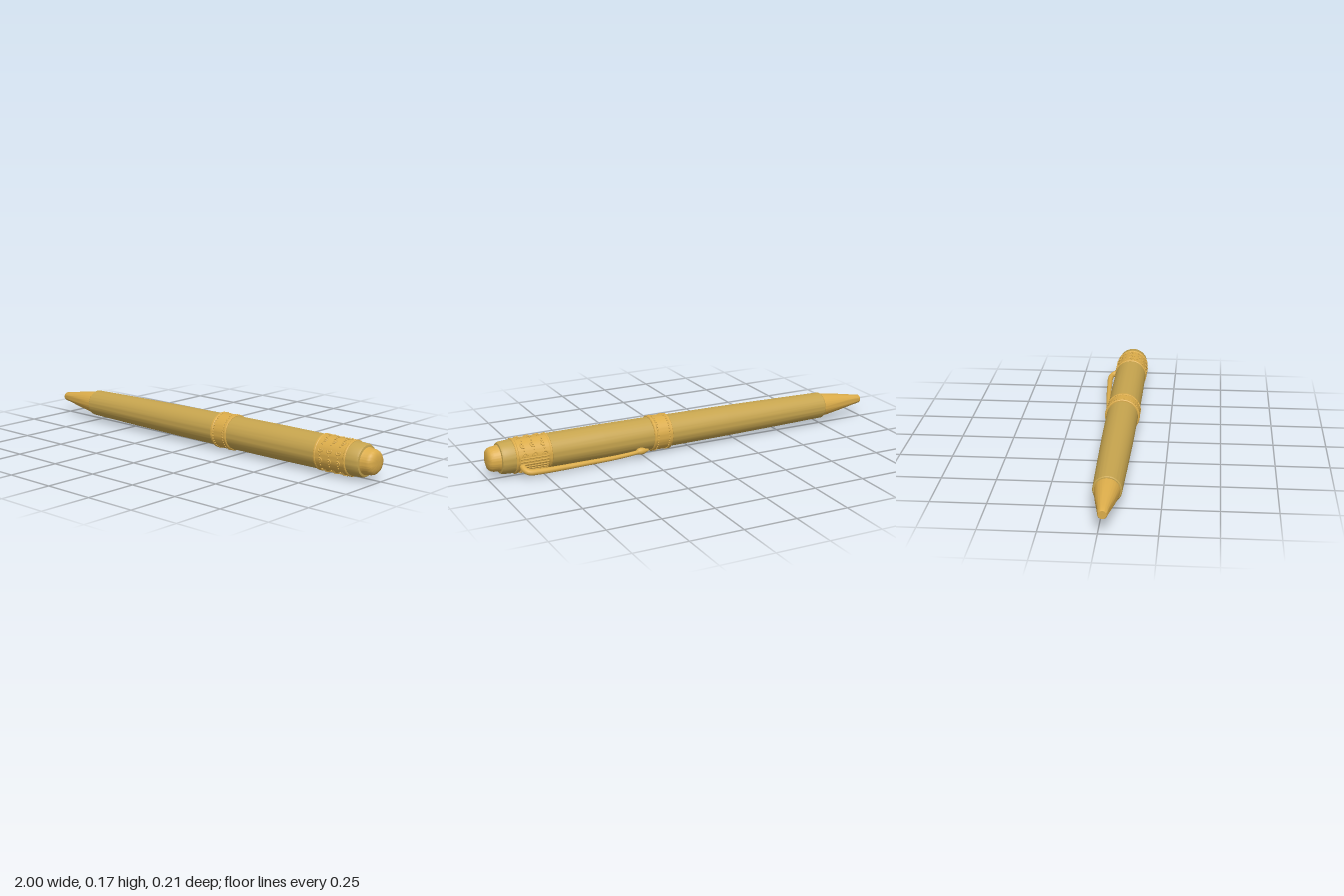
import * as THREE from 'three';
import { toCreasedNormals } from 'three/addons/utils/BufferGeometryUtils.js';

const DEG = Math.PI / 180;

export function createModel() {
  const bodyGold = new THREE.MeshStandardMaterial({ color: 0xc6a44e });
  bodyGold.name = 'soft gold';
  const trimGold = new THREE.MeshStandardMaterial({ color: 0xdbac4a });
  trimGold.name = 'bright gold';

  const root = new THREE.Group();
  root.name = 'pen';
  const pen = new THREE.Group();
  pen.name = 'penBody';
  pen.position.set(0, 0.087, 0.02);
  root.add(pen);

  const add = (name, geometry, material, parent = pen) => {
    const mesh = new THREE.Mesh(geometry, material);
    mesh.name = name;
    parent.add(mesh);
    return mesh;
  };

  // Turned part along x, from [x, radius] pairs
  const turned = (name, profile, material) => {
    const points = profile.map(([x, r]) => new THREE.Vector2(r, x));
    const geometry = new THREE.LatheGeometry(points, 64).rotateZ(-Math.PI / 2);
    return add(name, toCreasedNormals(geometry, 0.6), material);
  };

  // Point at x, distance r from the axis and angle (degrees) from +z towards +y
  const polar = (x, r, deg) =>
    new THREE.Vector3(x, r * Math.sin(deg * DEG), r * Math.cos(deg * DEG));

  // Tip, barrel and cap
  turned('tip', [[-1, 0], [-1, 0.018], [-0.995, 0.021], [-0.96, 0.026], [-0.87, 0.042],
    [-0.79, 0.054], [-0.755, 0.057]], trimGold);
  turned('barrel', [[-0.762, 0], [-0.762, 0.06], [-0.757, 0.064], [-0.5, 0.069],
    [-0.2, 0.074], [0.11, 0.0765], [0.11, 0]], bodyGold);
  turned('cap', [[0.19, 0], [0.19, 0.0785], [0.45, 0.0795], [0.72, 0.0785], [0.88, 0.077],
    [0.932, 0.0745], [0.941, 0.07], [0.944, 0.06], [0.944, 0]], bodyGold);
  turned('endKnob', [[0.94, 0], [0.94, 0.062], [0.948, 0.0605], [0.955, 0.058], [0.972, 0.057],
    [0.984, 0.053], [0.993, 0.045], [0.998, 0.03], [1, 0.014], [1, 0]], trimGold);

  // Centre ring with raised lips
  turned('centreRing', [[0.104, 0], [0.104, 0.081], [0.107, 0.085], [0.116, 0.085], [0.119, 0.0825],
    [0.185, 0.0825], [0.188, 0.085], [0.197, 0.085], [0.2, 0.081], [0.2, 0]], trimGold);

  // Beaded edges of the centre ring
  const bead = new THREE.SphereGeometry(0.0038, 8, 6);
  for (const x of [0.123, 0.181]) {
    for (let i = 0; i < 40; i++) add('ringBead', bead, trimGold).position.copy(polar(x, 0.0825, i * 9));
  }

  // Ornamental band
  turned('ornamentBand', [[0.708, 0], [0.708, 0.079], [0.711, 0.083], [0.717, 0.083], [0.72, 0.0805],
    [0.868, 0.0795], [0.871, 0.082], [0.877, 0.082], [0.88, 0.079], [0.88, 0]], trimGold);

  // Raised curls and beads around the band, leaving room for the clip
  const curl = new THREE.TorusGeometry(0.012, 0.0033, 8, 14, Math.PI * 1.1);
  for (let i = 0; i < 10; i++) {
    const deg = i * 36 - 12;
    if (deg > 180 && deg < 230) continue;
    for (let j = 0; j < 3; j++) {
      const x = 0.745 + j * 0.048;
      const holder = new THREE.Group();
      holder.name = 'curlOrnament';
      holder.position.copy(polar(x, 0.0805, deg));
      holder.rotation.x = -deg * DEG;
      pen.add(holder);
      add('curl', curl, trimGold, holder).rotation.z = i % 2 ? Math.PI : -Math.PI / 2;
      add('curlBead', bead, trimGold, holder);
      add('spacerBead', bead, trimGold).position.copy(polar(x, 0.0805, deg + 18));
    }
  }

  // Lengthwise ridges beneath the clip foot
  const ridge = new THREE.CapsuleGeometry(0.0035, 0.13, 4, 8).rotateZ(Math.PI / 2);
  for (let deg = 176; deg <= 236; deg += 10) {
    add('clipRidge', ridge, trimGold).position.copy(polar(0.794, 0.0805, deg));
  }

  // Clip: a bowed rod from the band towards the centre ring, thinning as it goes
  const clip = new THREE.Group();
  clip.name = 'clip';
  pen.add(clip);
  const path = new THREE.CatmullRomCurve3([
    polar(0.853, 0.07, 204), polar(0.85, 0.1, 204), polar(0.835, 0.12, 204),
    polar(0.79, 0.1255, 204), polar(0.68, 0.1225, 206), polar(0.55, 0.117, 208),
    polar(0.42, 0.11, 211), polar(0.33, 0.102, 213), polar(0.28, 0.096, 214),
  ]);
  const steps = 70, sides = 14;
  const rod = new THREE.TubeGeometry(path, steps, 1, sides);
  const pos = rod.attributes.position;
  const v = new THREE.Vector3();
  for (let i = 0; i <= steps; i++) {
    const t = i / steps;
    const centre = path.getPointAt(t);
    const radius = 0.0145 - 0.005 * t;
    for (let j = 0; j <= sides; j++) {
      const k = i * (sides + 1) + j;
      v.fromBufferAttribute(pos, k).sub(centre).multiplyScalar(radius).add(centre);
      pos.setXYZ(k, v.x, v.y, v.z);
    }
  }
  rod.computeBoundingSphere();
  add('clipRod', rod, trimGold, clip);

  // Pointed bead at the free end of the clip
  const end = new THREE.LatheGeometry(
    [[0, -0.045], [0.006, -0.04], [0.009, -0.028], [0.015, -0.014], [0.0165, 0],
      [0.014, 0.012], [0.008, 0.02], [0, 0.022]].map(([r, x]) => new THREE.Vector2(r, x)), 20);
  const endBead = add('clipEnd', end.rotateZ(-Math.PI / 2), trimGold, clip);
  endBead.position.copy(polar(0.275, 0.094, 214));

  return root;
}
